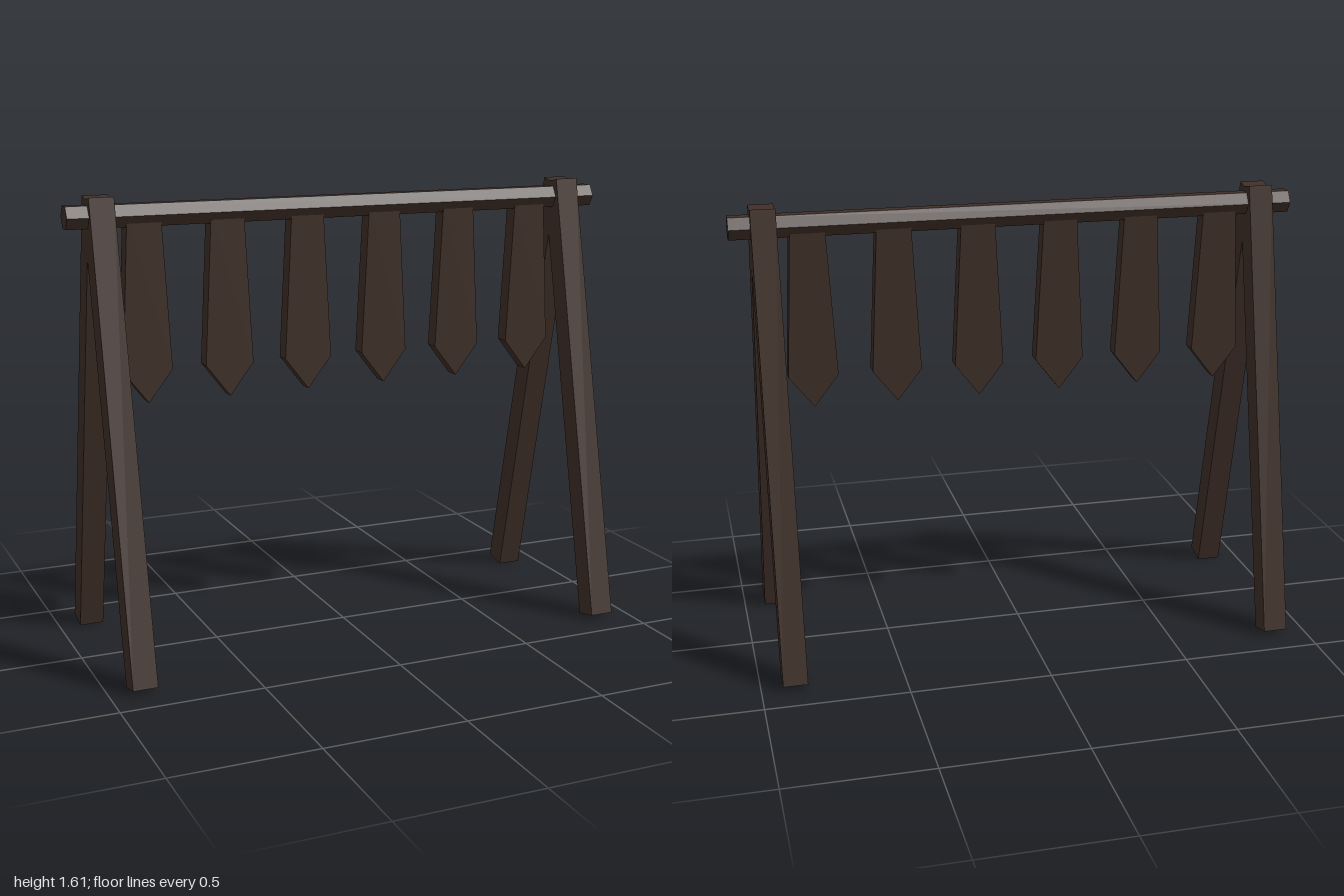
import * as THREE from 'three';

export function createModel() {
  const model = new THREE.Group();
  const wood = new THREE.MeshStandardMaterial({ color: 0x3e2e26, flatShading: true });
  const add = (name, geometry, x, y, z) => {
    const mesh = new THREE.Mesh(geometry, wood);
    mesh.name = name;
    mesh.position.set(x, y, z);
    model.add(mesh);
    return mesh;
  };

  // Hexagonal crossbar with flats at top and bottom
  const barY = 1.543;
  const bar = new THREE.CylinderGeometry(0.044, 0.044, 2, 6).rotateZ(Math.PI / 2);
  add('crossbar', bar, 0, barY, 0);

  // Two crossed legs at each end, leaning to meet at the bar
  const foot = { z: 0.354, y: 0.0095 };
  const top = { z: 0.001, y: 1.6 };
  const rise = top.y - foot.y, run = foot.z - top.z;
  const leg = new THREE.BoxGeometry(0.086, Math.hypot(rise, run), 0.087);
  for (const side of [1, -1]) {
    for (const face of [1, -1]) {
      const name = (side > 0 ? 'left' : 'right') + (face > 0 ? 'Front' : 'Back') + 'Leg';
      const mesh = add(name, leg, side * 0.883, (top.y + foot.y) / 2, face * (top.z + foot.z) / 2);
      mesh.rotation.x = -face * Math.atan2(run, rise);
    }
  }

  // Row of pointed slats hanging from the bar
  const outline = new THREE.Shape([
    [-0.059, 0], [-0.087, -0.53], [0, -0.643], [0.087, -0.53], [0.059, 0],
  ].map(([x, y]) => new THREE.Vector2(x, y)));
  const depth = 0.058;
  const slat = new THREE.ExtrudeGeometry(outline, { depth, bevelEnabled: false });
  slat.translate(0, 0, -depth / 2);
  for (let i = 0; i < 6; i++) {
    add('hangingSlat' + (i + 1), slat, (i - 2.5) * 0.2945, barY, 0);
  }

  return model;
}
